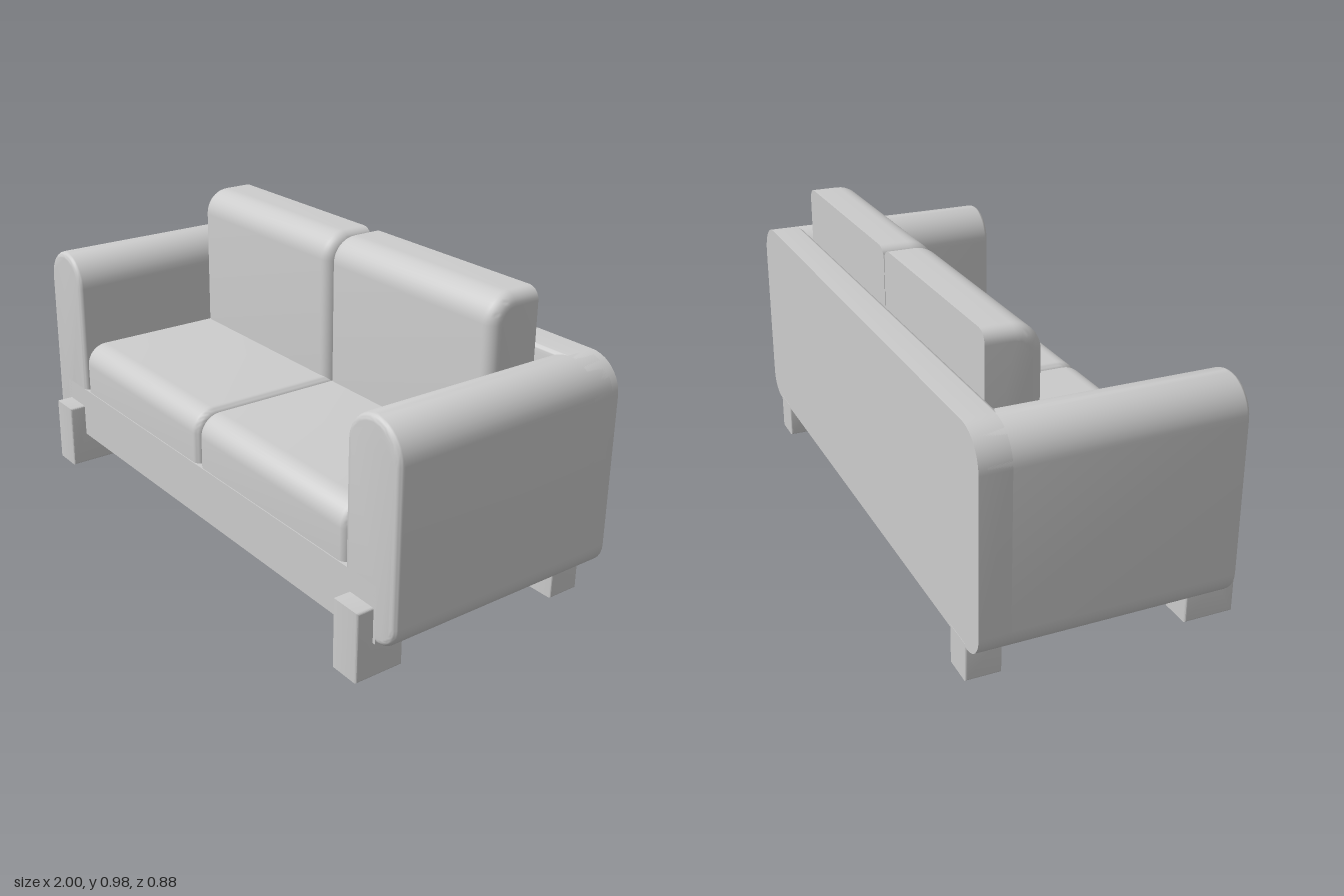
import * as THREE from 'three';
import { toCreasedNormals } from 'three/addons/utils/BufferGeometryUtils.js';

// Closed outline with right-angle corners [x, y, filletRadius]
function outline(corners) {
  const points = [];
  const n = corners.length;
  corners.forEach(([x, y, r = 0], i) => {
    const p = new THREE.Vector2(x, y);
    if (!r) { points.push(p); return; }
    const toward = ([a, b]) => new THREE.Vector2(a, b).sub(p).normalize();
    const prev = toward(corners[(i + n - 1) % n]);
    const next = toward(corners[(i + 1) % n]);
    for (let k = 0; k <= 10; k++) {
      const t = (k / 10) * Math.PI / 2;
      points.push(p.clone()
        .addScaledVector(next, r * (1 - Math.cos(t)))
        .addScaledVector(prev, r * (1 - Math.sin(t))));
    }
  });
  return new THREE.Shape(points);
}

// Extrusion along z, total length as given, with rounded edges inside the outline
function padded(shape, length, r) {
  return new THREE.ExtrudeGeometry(shape, {
    depth: length - 2 * r, bevelEnabled: true, bevelThickness: r,
    bevelSize: r, bevelOffset: -r, bevelSegments: 6,
  }).translate(0, 0, r);
}

// Flattens everything beyond a lower limit, leaving a sharp flat side there
function trim(geometry, minY, minZ) {
  const p = geometry.attributes.position;
  for (let i = 0; i < p.count; i++) {
    p.setY(i, Math.max(p.getY(i), minY));
    p.setZ(i, Math.max(p.getZ(i), minZ));
  }
  return geometry;
}

export function createModel() {
  const group = new THREE.Group();
  const fabric = new THREE.MeshStandardMaterial({ color: 0xcccccc });
  fabric.name = 'light grey';

  const add = (name, geometry) => {
    const mesh = new THREE.Mesh(toCreasedNormals(geometry, 0.6), fabric);
    mesh.name = name;
    group.add(mesh);
  };

  // Part with its profile in the z-y plane, running across x
  const across = (profile, x0, x1, r) =>
    padded(outline(profile), x1 - x0, r).rotateY(-Math.PI / 2).translate(x1, 0, 0);

  const bottom = 0.115, top = 0.8, front = 0.383, back = -0.44;

  // Base under the seat
  add('base', new THREE.BoxGeometry(1.84, 0.185, front + 0.36)
    .translate(0, bottom + 0.0925, (front - 0.36) / 2));

  // Back panel, flat behind and softened along its front edge
  const panel = outline([
    [-1, bottom, 0.08], [1, bottom, 0.08], [1, top, 0.112], [-1, top, 0.112],
  ]);
  add('backPanel', trim(padded(panel, 0.125, 0.014).translate(0, 0, back - 0.014), 0, back));

  for (const s of [1, -1]) {
    const side = s > 0 ? 'left' : 'right';

    // Armrest with a half-round top
    const arm = outline([
      [s * 0.775, bottom], [s * 1, bottom, 0.08], [s * 1, top, 0.112], [s * 0.775, top, 0.112],
    ]);
    add(side + 'Arm', trim(
      padded(arm, front - back - 0.005, 0.02).translate(0, 0, back + 0.005), 0, back + 0.005));

    // Seat and back cushions
    const x0 = s > 0 ? 0.002 : -0.772, x1 = x0 + 0.77;
    add(side + 'SeatCushion', trim(across([
      [-0.38, 0.25], [0.38, 0.25], [0.38, 0.48, 0.075], [-0.38, 0.48],
    ], x0, x1, 0.03), 0.29, -0.328));
    add(side + 'BackCushion', trim(across([
      [-0.38, 0.4], [-0.142, 0.4], [-0.142, 0.98, 0.088], [-0.38, 0.98],
    ], x0, x1, 0.04), 0.46, -0.322));

    // L-shaped front leg and block rear leg
    const l0 = s > 0 ? 0.8 : -0.91, l1 = l0 + 0.11;
    add(side + 'FrontLeg', across([
      [0.272, 0], [0.44, 0], [0.44, 0.228], [0.37, 0.228], [0.37, 0.125], [0.272, 0.125],
    ], l0, l1, 0.007));
    add(side + 'RearLeg', across([
      [-0.441, 0], [-0.328, 0], [-0.328, 0.125], [-0.441, 0.125],
    ], l0, l1, 0.007));
  }
  return group;
}
